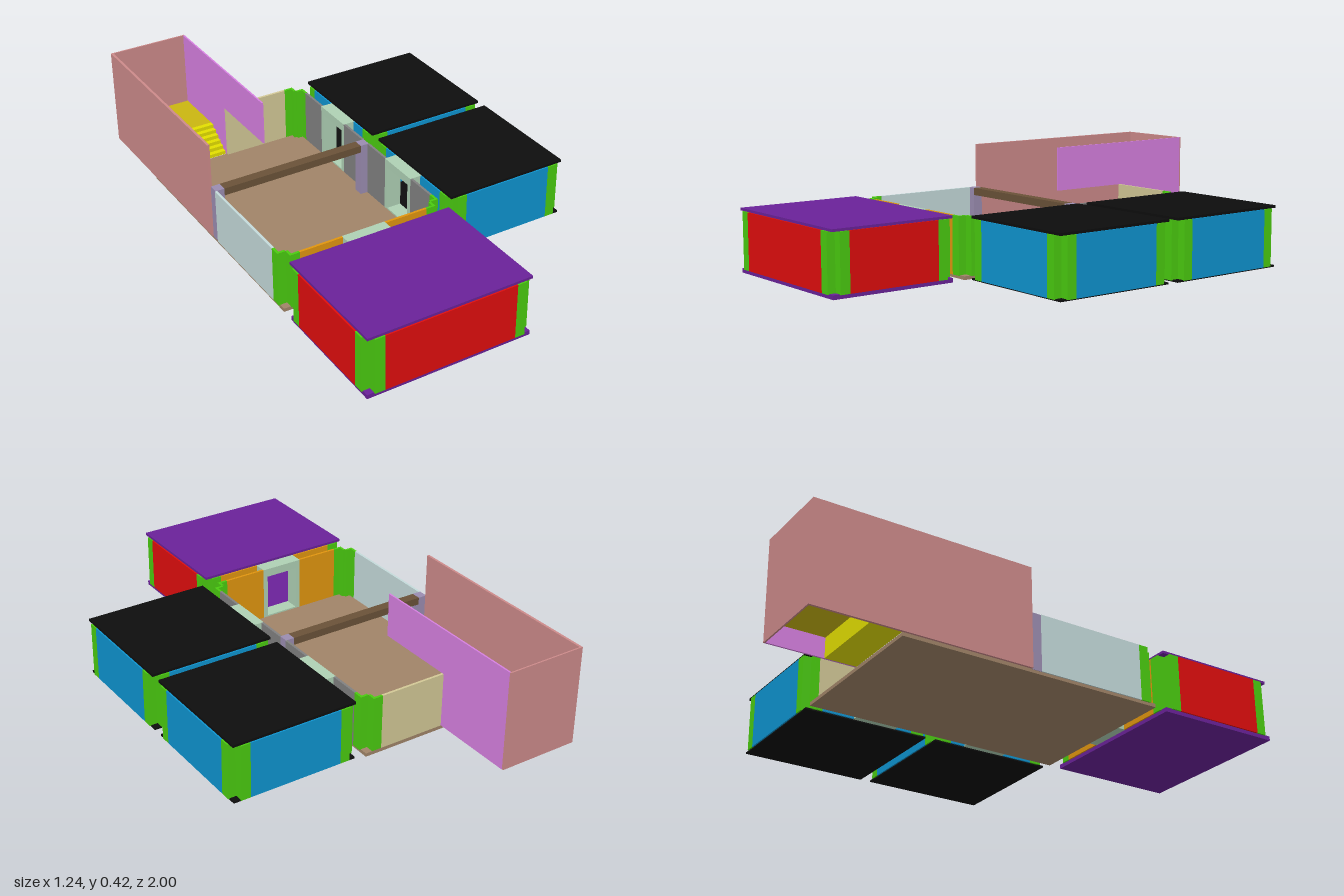
import * as THREE from 'three';

const COLORS = {
  green: 0x4acb10, red: 0xe00d0d, blue: 0x0e94d0, orange: 0xe0950f, grey: 0x808080, paleGrey: 0xc4dada,
  khaki: 0xd2c896, purple: 0x6a2299, black: 0x0d0d0d, tan: 0xa08468, brown: 0x6a5238, mauve: 0x9a8cb0,
  mint: 0xaed0b4, pink: 0xcc8a8a, violet: 0xd67fe0, yellow: 0xe2de00, ochre: 0xcab611,
};
const T = 0.01;                 // wall thickness
const N = 0.033;                // corner notch
const E = 0.04;                 // green end panel length
const Y0 = 0.015, Y1 = 0.24;    // wall bottom and top

export function createModel() {
  const model = new THREE.Group();
  const mats = {};
  for (const k in COLORS) mats[k] = new THREE.MeshStandardMaterial({ color: COLORS[k] });

  // Box from its bounds
  function box(name, color, x0, x1, y0, y1, z0, z1) {
    const m = new THREE.Mesh(new THREE.BoxGeometry(x1 - x0, y1 - y0, z1 - z0), mats[color]);
    m.name = name;
    m.position.set((x0 + x1) / 2, (y0 + y1) / 2, (z0 + z1) / 2);
    model.add(m);
  }

  // Upright panel on an x = p or z = p plane; s is the outward side
  function panel(name, color, axis, p, s, a, b) {
    const lo = s > 0 ? p - T : p, hi = lo + T;
    if (axis === 'x') box(name, color, lo, hi, Y0, Y1, a, b);
    else box(name, color, a, b, Y0, Y1, lo, hi);
  }

  // Wall with an optional doorway
  function wall(name, color, axis, p, s, a, b, door) {
    if (!door) return panel(name, color, axis, p, s, a, b);
    panel(name, color, axis, p, s, a, door[0]);
    panel(name, color, axis, p, s, door[1], b);
  }

  // Notched corner at (x, z) pointing outwards along sx, sz
  function corner(x, z, sx, sz) {
    const span = (p, s, from, to) => [p - s * from, p - s * to].sort((a, b) => a - b);
    panel('cornerPanel', 'green', 'x', x, sx, ...span(z, sz, N, N + E));
    panel('cornerPanel', 'green', 'z', z, sz, ...span(x, sx, N, N + E));
    panel('cornerReturn', 'green', 'x', x - sx * N, sx, ...span(z, sz, 0, N));
    panel('cornerReturn', 'green', 'z', z - sz * N, sz, ...span(x, sx, 0, N));
  }

  // Closed room with floor, roof, four corners and four walls
  function room(name, x0, x1, z0, z1, slab, floorY, walls) {
    for (const sx of [-1, 1]) for (const sz of [-1, 1]) corner(sx < 0 ? x0 : x1, sz < 0 ? z0 : z1, sx, sz);
    const c = N + E, e = 0.006;
    wall(name + 'LeftWall', walls.right[0], 'x', x1, 1, z0 + c, z1 - c, walls.right[1]);
    wall(name + 'RightWall', walls.left[0], 'x', x0, -1, z0 + c, z1 - c, walls.left[1]);
    wall(name + 'FrontWall', walls.front[0], 'z', z1, 1, x0 + c, x1 - c, walls.front[1]);
    wall(name + 'BackWall', walls.back[0], 'z', z0, -1, x0 + c, x1 - c, walls.back[1]);
    box(name + 'Floor', slab, x0 + e, x1 - e, floorY, Y0 + 0.002, z0 + e, z1 - e);
    box(name + 'Roof', slab, x0 + e, x1 - e, Y1, 0.25, z0 + e, z1 - e);
  }

  // Open-ended passage between two rooms, running along the given axis
  function passage(axis, p0, p1, a, b) {
    const put = (c0, c1, y0, y1) => axis === 'x'
      ? box('doorPassage', 'mint', p0, p1, y0, y1, c0, c1)
      : box('doorPassage', 'mint', c0, c1, y0, y1, p0, p1);
    put(a, a + 0.02, Y0, Y1);
    put(b - 0.02, b, Y0, Y1);
    put(a + 0.02, b - 0.02, Y1 - 0.035, Y1);
    put(a + 0.02, b - 0.02, Y0, Y0 + 0.008);
  }

  // Doorways
  const doorA = [0.05, 0.23], doorB = [-0.44, -0.26], doorC = [-0.37, -0.19];
  passage('x', 0.05, 0.11, ...doorA);
  passage('x', 0.05, 0.11, ...doorB);
  passage('z', 0.425, 0.485, ...doorC);

  // Closed rooms
  room('frontRoom', -0.62, 0.06, 0.475, 0.998, 'purple', 0,
    { left: ['red'], right: ['red'], front: ['red'], back: ['orange', doorC] });
  [[-0.085, 0.435, doorA], [-0.645, -0.118, doorB]].forEach(([z0, z1, door]) =>
    room('sideRoom', 0.095, 0.62, z0, z1, 'black', 0.01,
      { left: ['blue', door], right: ['blue'], front: ['blue'], back: ['blue'] }));

  // Open central hall
  const c = N + E;
  box('hallFloor', 'tan', -0.615, 0.055, 0.003, Y0 + 0.002, -0.645, 0.43);
  corner(-0.62, 0.435, -1, 1);
  corner(0.06, 0.435, 1, 1);
  corner(0.06, -0.645, 1, -1);
  wall('hallFrontWall', 'orange', 'z', 0.435, 1, -0.62 + c, 0.06 - c, doorC);
  wall('hallRightWall', 'paleGrey', 'x', -0.62, -1, -0.08, 0.435 - c);
  wall('hallLeftWall', 'grey', 'x', 0.06, 1, -0.08, 0.435 - c, doorA);
  wall('hallLeftWall', 'grey', 'x', 0.06, 1, -0.645 + c, -0.12, doorB);
  wall('hallBackWall', 'khaki', 'z', -0.645, -1, -0.29, 0.06 - c);

  // Posts and beam dividing the hall
  box('beamPost', 'mauve', -0.617, -0.58, Y0, Y1, -0.12, -0.08);
  box('beamPost', 'mauve', 0.02, 0.057, Y0, Y1, -0.12, -0.08);
  box('beam', 'brown', -0.58, 0.02, Y1 - 0.03, Y1, -0.12, -0.08);

  // Stairwell walls
  const top = 0.42, back = -1;
  box('stairOuterWall', 'pink', -0.622, -0.612, 0.018, top, back, -0.12);
  box('stairBackWall', 'pink', -0.612, -0.29, 0.018, top, back, back + 0.006);
  box('stairInnerWall', 'violet', -0.296, -0.289, 0.018, top, back + 0.006, -0.645);
  box('stairInnerWall', 'violet', -0.296, -0.289, Y1, top, -0.645, -0.3);

  // Steps and landing
  const steps = 6, run = 0.125 / steps, rise = 0.09 / steps;
  for (let i = 0; i < steps; i++) {
    const z = -0.645 - i * run;
    box('step', 'yellow', -0.612, -0.296, 0.018, 0.018 + (i + 1) * rise, z - run, z);
  }
  box('landing', 'ochre', -0.612, -0.296, 0.098, 0.108, back + 0.006, -0.77);

  return model;
}
